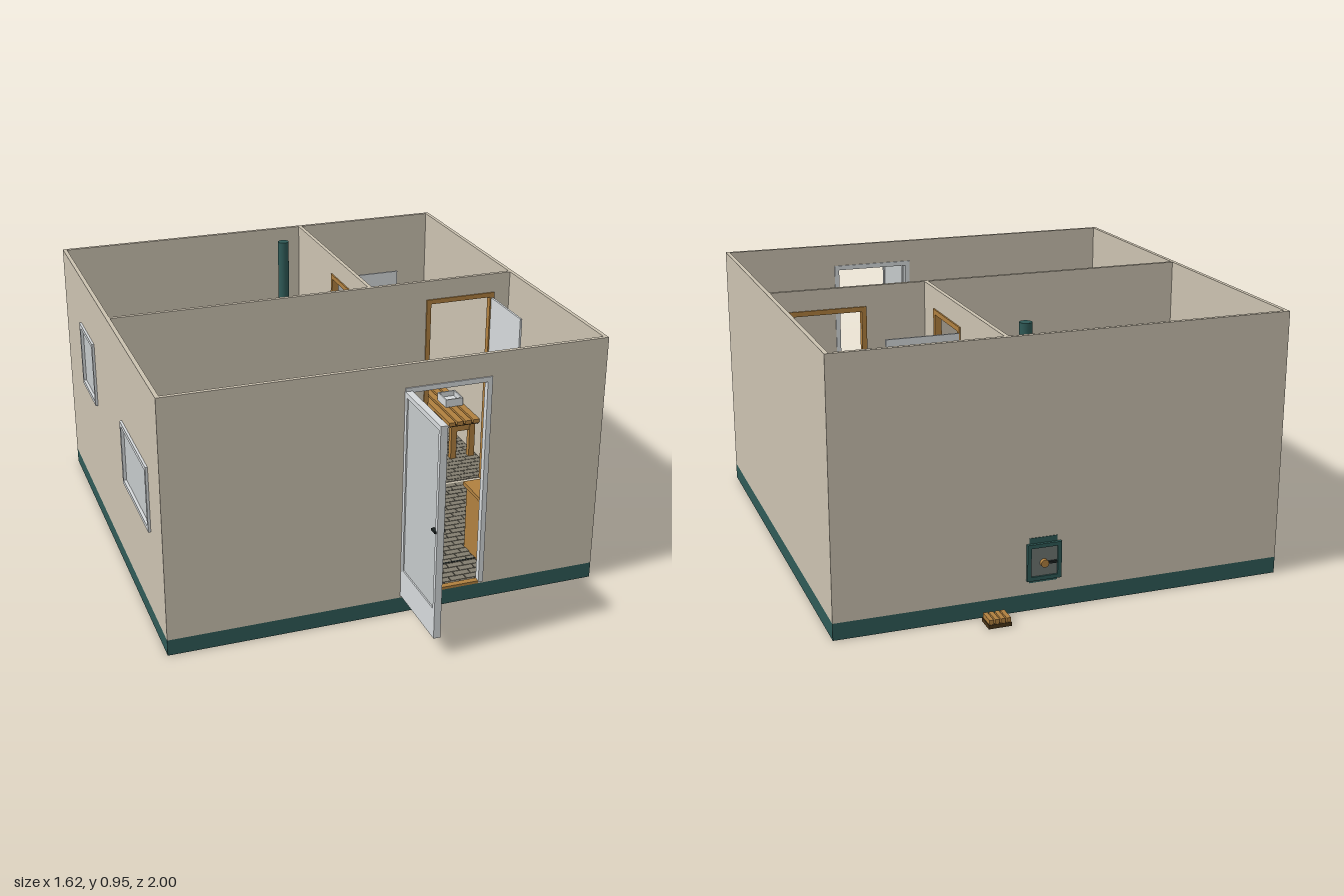
import * as THREE from 'three';
import { mergeGeometries } from 'three/addons/utils/BufferGeometryUtils.js';
import { RoundedBoxGeometry } from 'three/addons/geometries/RoundedBoxGeometry.js';

const mat = (name, color) => {
  const m = new THREE.MeshStandardMaterial({ color });
  m.name = name;
  return m;
};

export function createModel() {
  const M = {
    wall: mat('plaster', 0xcbc2b0), teal: mat('teal', 0x2f5a57), wood: mat('wood', 0xb0803f),
    gap: mat('dark wood', 0x4a3518), white: mat('white', 0xd6dadc), glass: mat('glass', 0xc4c9ca),
    tile: mat('floor tile', 0x827d6f), grout: mat('grout', 0x4f4c44),
    black: mat('black metal', 0x1d2423), stone: mat('stone', 0x6f7672),
  };
  const root = new THREE.Group();
  root.name = 'bathHouse';
  const FLOOR = 0.065, TOP = 0.955, T = 0.015;

  const group = (name, parent = root) => {
    const g = new THREE.Group();
    g.name = name;
    parent.add(g);
    return g;
  };
  const add = (name, geo, m, x = 0, y = 0, z = 0, parent = root) => {
    const mesh = new THREE.Mesh(geo, m);
    mesh.name = name;
    mesh.position.set(x, y, z);
    parent.add(mesh);
    return mesh;
  };
  // Box given by its limits on each axis
  const box = (name, m, x0, x1, y0, y1, z0, z1, parent = root) =>
    add(name, new THREE.BoxGeometry(x1 - x0, y1 - y0, z1 - z0), m,
      (x0 + x1) / 2, (y0 + y1) / 2, (z0 + z1) / 2, parent);
  const cyl = (name, m, r0, r1, h, x, y, z, parent = root, n = 20) =>
    add(name, new THREE.CylinderGeometry(r0, r1, h, n), m, x, y, z, parent);

  // Foundation and tiled floor
  box('foundation', M.teal, -0.805, 0.805, 0, 0.06, -0.91, 0.7);
  box('floorSlab', M.grout, -0.795, 0.795, 0.06, FLOOR, -0.9, 0.69);
  const tiles = [];
  const tileArea = (x0, x1, z0, z1) => {
    const w = 0.06, d = 0.03;
    for (let r = 0; z0 + r * d < z1 - 0.005; r++) {
      for (let x = x0 - (r % 2) * w / 2; x < x1 - 0.005; x += w) {
        const a = Math.max(x, x0), b = Math.min(x + w, x1) - 0.003;
        const z = z0 + r * d, e = Math.min(z + d, z1) - 0.003;
        tiles.push(new THREE.BoxGeometry(b - a, 0.004, e - z)
          .translate((a + b) / 2, FLOOR + 0.001, (z + e) / 2));
      }
    }
  };
  tileArea(-0.79, 0.79, -0.053, 0.685);
  tileArea(0.218, 0.79, -0.895, -0.068);
  add('floorTiles', mergeGeometries(tiles), M.tile);
  box('floorDrain', M.black, -0.79, 0.79, 0.066, 0.069, 0.536, 0.543);

  // Walls with openings; each opening is [u0, u1, v0, v1]
  const wall = (name, u0, u1, openings, alongZ, pos) => {
    const s = new THREE.Shape();
    s.moveTo(u0, 0.06).lineTo(u1, 0.06).lineTo(u1, TOP).lineTo(u0, TOP).closePath();
    for (const [a, b, c, d] of openings) {
      const h = new THREE.Path();
      h.moveTo(a, c).lineTo(a, d).lineTo(b, d).lineTo(b, c).closePath();
      s.holes.push(h);
    }
    const g = new THREE.ExtrudeGeometry(s, { depth: T, bevelEnabled: false });
    g.translate(0, 0, -T / 2);
    const mesh = add(name, g, M.wall);
    if (alongZ) { mesh.rotation.y = -Math.PI / 2; mesh.position.x = pos; } else mesh.position.z = pos;
  };
  const frontDoor = [0.045, 0.365, 0.067, 0.87], washDoor = [0.44, 0.725, 0.067, 0.88];
  const steamDoor = [-0.47, -0.185, 0.067, 0.88];
  const windows = [[-0.58, -0.33, 0.5, 0.755], [0.13, 0.53, 0.39, 0.635]];
  wall('frontWall', -0.805, 0.805, [frontDoor], false, 0.6925);
  wall('backWall', -0.805, 0.805, [], false, -0.9025);
  wall('rightWall', -0.895, 0.685, windows, true, -0.7975);
  wall('leftWall', -0.895, 0.685, [], true, 0.7975);
  wall('crossPartition', -0.79, 0.79, [washDoor], false, -0.06);
  wall('steamRoomPartition', -0.895, -0.0675, [steamDoor], true, 0.21);

  // Frames around doors and windows, built flat and then turned
  const frame = (name, [a, b, c, d], m, alongZ, pos, w, depth, sill) => {
    const g = group(name), h = depth / 2;
    box('jamb', m, a, a + w, c, d, -h, h, g);
    box('jamb', m, b - w, b, c, d, -h, h, g);
    box('head', m, a + w, b - w, d - w, d, -h, h, g);
    if (sill) box('sill', m, a + w, b - w, c, c + w, -h, h, g);
    if (alongZ) { g.rotation.y = -Math.PI / 2; g.position.x = pos; } else g.position.z = pos;
    return g;
  };
  frame('frontDoorFrame', frontDoor, M.white, false, 0.6925, 0.018, 0.024);
  box('threshold', M.wood, 0.063, 0.347, 0.062, 0.072, 0.68, 0.703);
  frame('washRoomDoorFrame', washDoor, M.wood, false, -0.06, 0.018, 0.026);
  frame('steamRoomDoorFrame', steamDoor, M.wood, true, 0.21, 0.018, 0.026);
  for (const o of windows) {
    const g = frame('window', o, M.white, true, -0.8, 0.016, 0.028, true);
    box('pane', M.glass, o[0] + 0.016, o[1] - 0.016, o[2] + 0.016, o[3] - 0.016, -0.003, 0.003, g);
  }

  // Open front door
  const door = group('frontDoor');
  const rail = (y0, y1, z0, z1) => box('doorRail', M.white, 0.045, 0.07, y0, y1, z0, z1, door);
  rail(0.07, 0.18, 0.702, 1);
  rail(0.84, 0.858, 0.702, 1);
  rail(0.18, 0.84, 0.702, 0.718);
  rail(0.18, 0.84, 0.984, 1);
  box('doorPane', M.glass, 0.05, 0.065, 0.18, 0.84, 0.718, 0.984, door);
  box('doorHandle', M.black, 0.038, 0.077, 0.47, 0.478, 0.965, 0.995, door);

  // Open inner doors
  box('washRoomDoor', M.white, 0.711, 0.719, 0.075, 0.86, -0.045, 0.21);
  box('washRoomDoorHandle', M.black, 0.7, 0.73, 0.46, 0.47, 0.18, 0.197);
  box('steamRoomDoor', M.white, 0.225, 0.485, 0.075, 0.86, -0.474, -0.466);
  box('steamRoomDoorHandle', M.black, 0.455, 0.472, 0.46, 0.47, -0.485, -0.455);

  // Slatted wooden surface on a dark underlay, with optional legs
  const slats = (name, x0, x1, z0, z1, y, n, alongZ, legs = true) => {
    const g = group(name), t = 0.015, gap = 0.009;
    const lo = alongZ ? x0 : z0, step = ((alongZ ? x1 : z1) - lo + gap) / n;
    for (let i = 0; i < n; i++) {
      const a = lo + i * step, b = a + step - gap;
      if (alongZ) box('slat', M.wood, a, b, y - t, y, z0, z1, g);
      else box('slat', M.wood, x0, x1, y - t, y, a, b, g);
    }
    box('underlay', M.gap, x0 + 0.004, x1 - 0.004, y - t - 0.006, y - t, z0 + 0.004, z1 - 0.004, g);
    if (!legs) return;
    for (const x of [x0 + 0.015, x1 - 0.04])
      for (const z of [z0 + 0.01, z1 - 0.035])
        box('leg', M.wood, x, x + 0.025, FLOOR, y - t, z, z + 0.025, g);
    for (const z of [z0 + 0.015, z1 - 0.03])
      box('apron', M.wood, x0 + 0.04, x1 - 0.04, y - t - 0.035, y - t - 0.006, z, z + 0.015, g);
  };

  // Lounge: benches with cushions, table with tea set, corner cabinet
  slats('loungeBench', -0.73, -0.12, 0.005, 0.19, 0.23, 5, false);
  slats('loungeBench', -0.73, -0.12, 0.475, 0.66, 0.23, 5, false);
  slats('loungeTable', -0.705, -0.145, 0.21, 0.45, 0.335, 6, false);
  for (const x of [-0.605, -0.245])
    for (const z of [0.1, 0.56])
      add('cushion', new RoundedBoxGeometry(0.15, 0.05, 0.12, 4, 0.024), M.white, x, 0.255, z);
  const pot = [[0, 0], [0.02, 0], [0.028, 0.015], [0.022, 0.035], [0.008, 0.042], [0.006, 0.05], [0, 0.052]];
  add('teapot', new THREE.LatheGeometry(pot.map(p => new THREE.Vector2(...p)), 20), M.white, -0.425, 0.335, 0.33);
  for (const [x, z] of [[-0.475, 0.36], [-0.385, 0.365]])
    cyl('cup', M.white, 0.014, 0.01, 0.022, x, 0.346, z);
  box('cabinet', M.wood, 0.41, 0.76, FLOOR, 0.32, 0.44, 0.68);
  box('cabinetTop', M.wood, 0.4, 0.77, 0.32, 0.335, 0.43, 0.683);

  // Shallow wash basin
  const basin = (x0, x1, z0, z1, y) => {
    const g = group('basin'), w = 0.006, h = y + 0.035;
    box('basinFloor', M.white, x0, x1, y, y + 0.012, z0, z1, g);
    for (const x of [x0, x1 - w]) box('basinSide', M.white, x, x + w, y, h, z0, z1, g);
    for (const z of [z0, z1 - w]) box('basinEnd', M.white, x0 + w, x1 - w, y, h, z, z + w, g);
  };
  basin(0.53, 0.635, 0.51, 0.605, 0.335);

  // Wash room: benches, basins and bucket
  slats('washBench', 0.325, 0.685, -0.893, -0.765, 0.24, 4, false);
  slats('washBench', 0.65, 0.788, -0.66, -0.255, 0.24, 4, true);
  basin(0.505, 0.61, -0.88, -0.79, 0.24);
  basin(0.7, 0.78, -0.5, -0.41, 0.24);
  cyl('bucket', M.wood, 0.052, 0.042, 0.1, 0.29, 0.117, -0.65);
  for (const y of [0.09, 0.145])
    add('bucketHoop', new THREE.TorusGeometry(0.049, 0.003, 6, 24).rotateX(Math.PI / 2), M.black, 0.29, y, -0.65);
  box('ladle', M.gap, 0.25, 0.35, 0.168, 0.174, -0.654, -0.646);

  // Steam room: upper benches, steps and floor grating
  slats('upperBackBench', -0.788, -0.305, -0.893, -0.62, 0.46, 7, false);
  slats('upperSideBench', -0.788, -0.43, -0.615, -0.07, 0.46, 8, true);
  slats('middleStep', -0.428, -0.18, -0.5, -0.235, 0.27, 5, false);
  slats('lowerStep', -0.428, -0.085, -0.23, -0.07, 0.28, 4, false);
  for (const [a, b] of [[-0.893, -0.69], [-0.685, -0.485], [-0.48, -0.28], [-0.275, -0.07]])
    slats('floorGrating', -0.3, 0.2, a, b, 0.09, 15, true, false);
  const whisk = group('leafWhisk');
  whisk.position.set(-0.67, 0.46, -0.47);
  cyl('whiskHandle', M.wood, 0.008, 0.008, 0.08, 0, 0.04, 0, whisk, 8);
  for (let i = 0; i < 9; i++) {
    const a = i * Math.PI * 2 / 9;
    const leaf = add('leaf', new THREE.SphereGeometry(0.022, 8, 6).scale(1, 0.25, 0.4), M.teal,
      0.03 * Math.cos(a), 0.02 + 0.008 * (i % 2), 0.03 * Math.sin(a), whisk);
    leaf.rotation.y = -a;
  }

  // Stove with stones, flue and fire tunnel through the back wall
  box('stoveBody', M.teal, -0.015, 0.185, FLOOR, 0.36, -0.835, -0.685);
  box('fireTunnel', M.teal, 0.03, 0.13, 0.1, 0.26, -0.912, -0.835);
  for (const x of [-0.015, 0.177]) box('stoveRim', M.black, x, x + 0.008, 0.36, 0.385, -0.835, -0.685);
  for (const z of [-0.835, -0.693]) box('stoveRim', M.black, -0.007, 0.177, 0.36, 0.385, z, z + 0.008);
  for (let i = 0; i < 7; i++)
    for (let j = 0; j < 5; j++) {
      const s = add('stoveStone', new THREE.DodecahedronGeometry(0.013), (i + j) % 3 ? M.teal : M.stone,
        0.008 + i * 0.0255, 0.365 + 0.004 * ((i * 3 + j) % 3), -0.815 + j * 0.0265);
      s.rotation.set(i * 1.3, j * 0.9, i + j);
    }
  cyl('flue', M.teal, 0.022, 0.022, 0.59, 0.08, 0.655, -0.73);

  // Fire door on the outside of the back wall
  const fire = group('fireDoor');
  for (const x of [0.018, 0.126]) box('fireDoorJamb', M.teal, x, x + 0.014, 0.11, 0.24, -0.922, -0.908, fire);
  for (const y of [0.11, 0.226]) box('fireDoorRail', M.teal, 0.032, 0.126, y, y + 0.014, -0.922, -0.908, fire);
  box('fireDoorPanel', M.stone, 0.032, 0.126, 0.124, 0.226, -0.916, -0.908, fire);
  cyl('fireDoorKnob', M.wood, 0.014, 0.014, 0.014, 0.08, 0.17, -0.922, fire).rotation.x = Math.PI / 2;
  box('fireDoorLatch', M.black, 0.035, 0.075, 0.166, 0.174, -0.924, -0.916, fire);

  // Small slatted step outside the back wall
  box('outdoorStepBase', M.gap, 0.225, 0.305, 0, 0.014, -1, -0.933);
  for (let i = 0; i < 4; i++)
    box('outdoorStepSlat', M.wood, 0.227 + i * 0.02, 0.242 + i * 0.02, 0.014, 0.03, -0.998, -0.935);

  return root;
}
